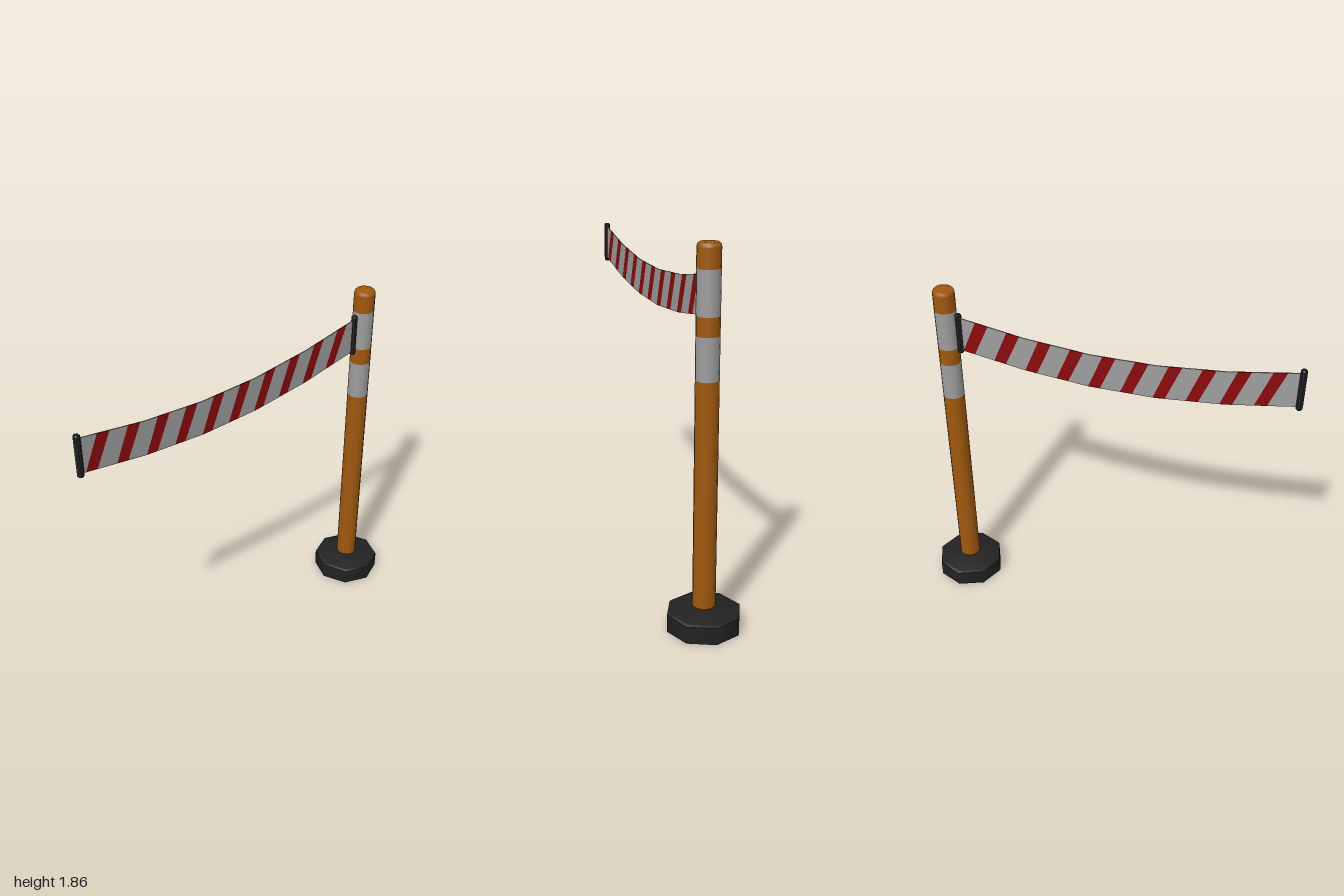
import * as THREE from 'three';

const mat = (name, color) => {
  const m = new THREE.MeshStandardMaterial({ color });
  m.name = name;
  return m;
};

export function createModel() {
  const orange = mat('orange plastic', 0xa0580e);
  const white = mat('reflective white', 0x9d9d9d);
  const red = mat('belt red', 0x8b0a0c);
  const black = mat('black rubber', 0x222222);
  const grey = mat('slot grey', 0x505050);

  const root = new THREE.Group();
  root.name = 'beltBarrier';
  const add = (parent, name, geometry, material, x = 0, y = 0, z = 0) => {
    const mesh = new THREE.Mesh(geometry, material);
    mesh.name = name;
    mesh.position.set(x, y, z);
    parent.add(mesh);
    return mesh;
  };
  const lathe = (points, sides) =>
    new THREE.LatheGeometry(points.map(p => new THREE.Vector2(...p)), sides);

  // Post with its octagonal foot
  const post = new THREE.Group();
  post.name = 'post';
  post.position.z = -0.815;
  root.add(post);
  add(post, 'baseSide', lathe([[0.185, 0], [0.185, 0.088]], 8), black);
  add(post, 'baseTop', lathe([[0.185, 0.088], [0.174, 0.097], [0.055, 0.12], [0, 0.12]], 8), black);
  add(post, 'baseBottom', lathe([[0, 0], [0.185, 0]], 8), black);

  // Stacked orange and white sleeves
  const R = 0.056;
  const bands = [
    ['lowerTube', 0.11, 1.235, orange],
    ['lowerReflector', 1.235, 1.44, white],
    ['middleTube', 1.44, 1.53, orange],
    ['upperReflector', 1.53, 1.74, white],
    ['upperTube', 1.74, 1.835, orange],
  ];
  for (const [name, y0, y1, m] of bands) {
    add(post, name, new THREE.CylinderGeometry(R, R, y1 - y0, 16, 1, true), m, 0, (y0 + y1) / 2, 0);
  }
  add(post, 'cap', lathe([[R, 1.835], [0.053, 1.847], [0.045, 1.855], [0, 1.857]], 16), orange);

  // Clips that hold the two belt ends, the free one with an open slot
  const clip = lathe([[0, -0.111], [0.012, -0.111], [0.017, -0.105], [0.017, 0.105], [0.012, 0.111], [0, 0.111]], 8)
    .rotateY(Math.PI / 8)
    .toNonIndexed();
  clip.computeVertexNormals();
  add(root, 'outerClip', clip, black, 0, 1.613, 0.984);
  add(root, 'postClip', clip, black, 0, 1.613, -0.748);
  add(root, 'clipSlot', new THREE.BoxGeometry(0.009, 0.19, 0.002), grey, 0, 1.613, 0.9995);

  // Sagging belt: centre line made of five straight runs, about its own middle
  const knots = [0.8575, 0.5145, 0.1715, -0.1715, -0.5145, -0.8575];
  const heights = [1.61, 1.553, 1.522, 1.522, 1.553, 1.61];
  const centreY = z => {
    const i = Math.min(4, Math.max(0, Math.floor((knots[0] - z) / 0.343)));
    return THREE.MathUtils.mapLinear(z, knots[i], knots[i + 1], heights[i], heights[i + 1]);
  };

  // Points along one belt edge, including the bends between its ends
  const edge = (from, to, offset) =>
    [from, ...knots.filter(k => k < from && k > to), to]
      .map(z => new THREE.Vector2(-z, centreY(z) + offset));

  // Slanted stripe boundaries, as [bottom z, top z]
  const cuts = [[0.865, 0.865]];
  for (let i = 0; i < 10; i++) {
    const s = 0.167 * i;
    cuts.push([0.845 - s, 0.77 - s], [0.783 - s, 0.703 - s]);
  }
  cuts.push([-0.865, -0.865]);

  // Two striped layers back to back, so each side reads the same
  for (const [name, turn] of [['beltLeftFace', 0], ['beltRightFace', Math.PI]]) {
    const face = new THREE.Group();
    face.name = name;
    face.position.z = 0.1125;
    face.rotation.y = turn;
    root.add(face);
    for (let i = 0; i < cuts.length - 1; i++) {
      const [b0, t0] = cuts[i], [b1, t1] = cuts[i + 1];
      const outline = [...edge(b0, b1, -0.093), ...edge(t0, t1, 0.093).reverse()];
      const g = new THREE.ExtrudeGeometry(new THREE.Shape(outline), { depth: 0.003, bevelEnabled: false })
        .rotateY(Math.PI / 2);
      add(face, i % 2 ? 'redStripe' : 'whiteStripe', g, i % 2 ? red : white);
    }
  }

  return root;
}
